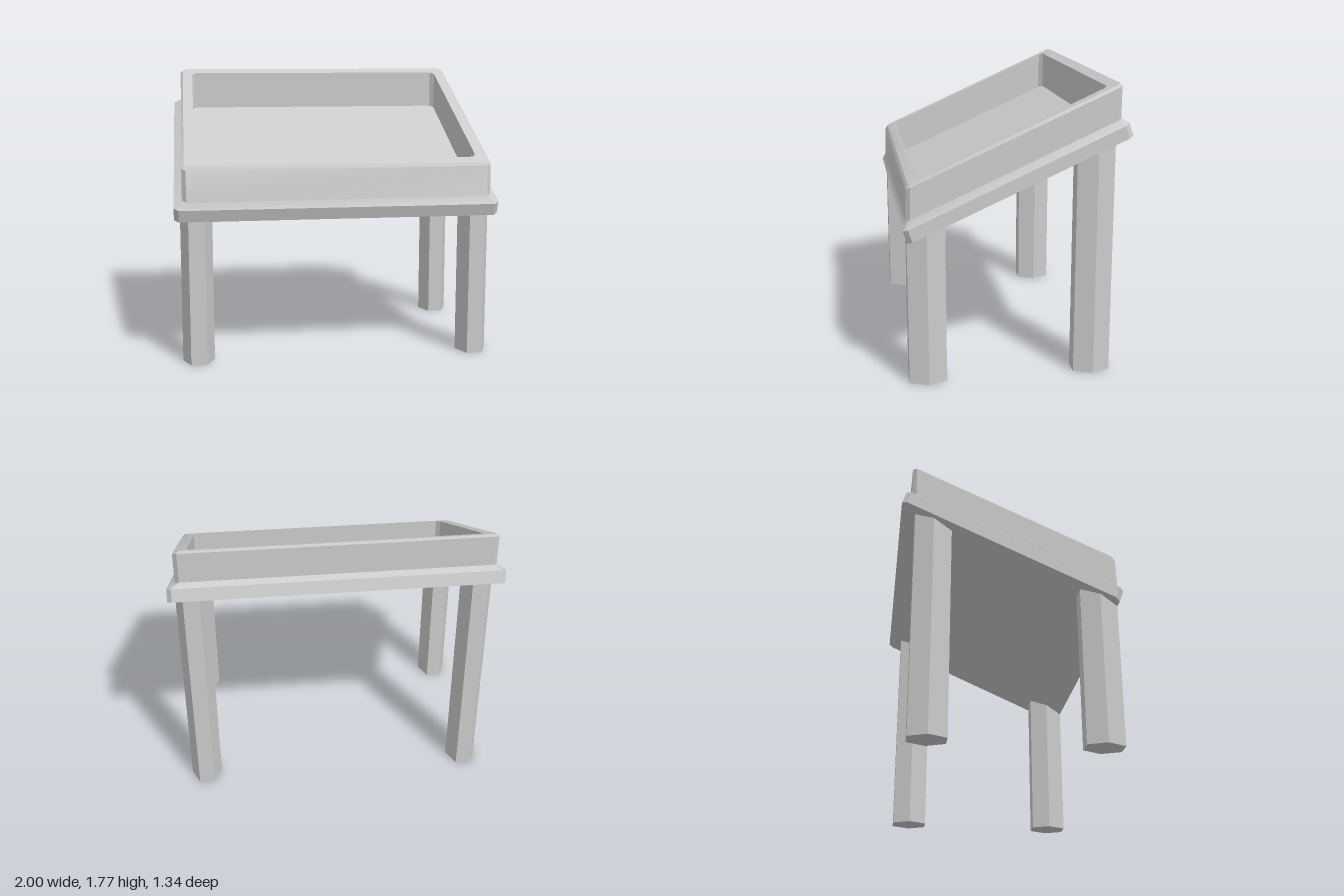
import * as THREE from 'three';
import { toCreasedNormals } from 'three/addons/utils/BufferGeometryUtils.js';

const SLOPE = 0.445; // the tray drops by this much per unit of z
const slanted = (height, z) => height - SLOPE * z;

// Rectangle with chamfered corners, lying on a slanted plane, counter-clockwise from above
function ring([hx, back, front, c, height]) {
  const outline = [
    [hx, front - c], [hx, back + c], [hx - c, back], [-hx + c, back],
    [-hx, back + c], [-hx, front - c], [-hx + c, front], [hx - c, front],
  ];
  return outline.map(([x, z]) => [x, slanted(height, z), z]);
}

// Skin through successive rings, closed with a cap at both ends
function loft(rings) {
  const n = rings[0].length;
  const index = [];
  for (let r = 0; r < rings.length - 1; r++) {
    for (let i = 0; i < n; i++) {
      const a = r * n + i, b = r * n + (i + 1) % n;
      index.push(a, b, b + n, a, b + n, a + n);
    }
  }
  const last = (rings.length - 1) * n;
  for (let i = 1; i < n - 1; i++) {
    index.push(0, i + 1, i);
    index.push(last, last + i, last + i + 1);
  }
  const geometry = new THREE.BufferGeometry();
  geometry.setAttribute('position', new THREE.Float32BufferAttribute(rings.flat(2), 3));
  geometry.setIndex(index);
  return toCreasedNormals(geometry, 0.6);
}

// Six-sided leg, stretched front to back, its top cut to the slope of the tray
function legGeometry(z) {
  const geometry = new THREE.CylinderGeometry(0.0975, 0.0975, 1, 6, 1, false, Math.PI / 2);
  geometry.scale(1, 1, 1.33);
  const p = geometry.attributes.position;
  for (let i = 0; i < p.count; i++) {
    p.setY(i, p.getY(i) > 0 ? slanted(1.18, z + p.getZ(i)) : 0);
  }
  return geometry;
}

export function createModel() {
  const model = new THREE.Group();
  const material = new THREE.MeshStandardMaterial({ color: 0xcccccc });
  const flat = new THREE.MeshStandardMaterial({ color: 0xcccccc, flatShading: true });

  // Each ring: half width, back z, front z, corner chamfer, height at z = 0
  const tray = new THREE.Mesh(loft([
    [1, -0.665, 0.645, 0.028, 1.175],      // underside
    [1, -0.64, 0.67, 0.028, 1.26],         // lip edge
    [0.95, -0.605, 0.65, 0.025, 1.297],    // foot of the frame
    [0.95, -0.605, 0.645, 0.025, 1.485],   // top of the frame wall
    [0.935, -0.595, 0.63, 0.025, 1.503],   // outer rim
    [0.87, -0.535, 0.575, 0.025, 1.503],   // inner rim
    [0.87, -0.535, 0.575, 0.025, 1.262],   // sunken floor
  ].map(ring)), material);
  tray.name = 'slopedTray';
  model.add(tray);

  // Short legs at the front, tall legs at the back
  for (const [name, z] of [['front', 0.533], ['back', -0.468]]) {
    for (const [side, sign] of [['Left', 1], ['Right', -1]]) {
      const leg = new THREE.Mesh(legGeometry(z), flat);
      leg.name = `${name}${side}Leg`;
      leg.position.set(sign * 0.8675, 0, z);
      model.add(leg);
    }
  }
  return model;
}
